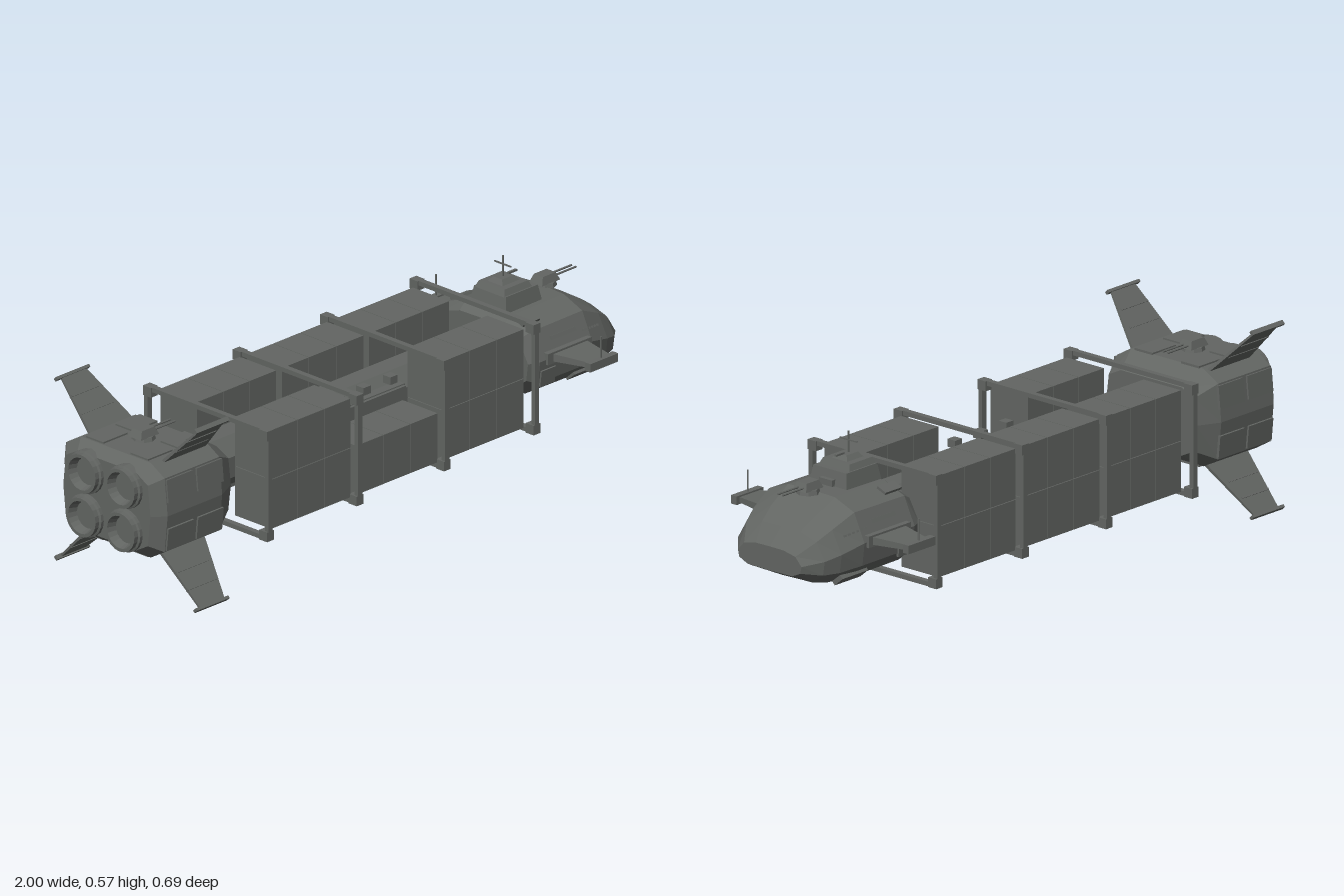
import * as THREE from 'three';

const grey = new THREE.MeshStandardMaterial({ color: 0x626562, flatShading: true, side: THREE.DoubleSide });
grey.name = 'hull grey';
const AXIS = 0.29; // height of the ship's long axis

function add(parent, name, geo, x = 0, y = 0, z = 0, rx = 0, rz = 0) {
  const m = new THREE.Mesh(geo, grey);
  m.name = name;
  m.position.set(x, y, z);
  m.rotation.set(rx, 0, rz);
  parent.add(m);
  return m;
}
const box = (p, name, w, h, d, x, y, z, rx = 0, rz = 0) =>
  add(p, name, new THREE.BoxGeometry(w, h, d), x, y, z, rx, rz);
function group(parent, name) {
  const g = new THREE.Group();
  g.name = name;
  parent.add(g);
  return g;
}

// Skin stretched along x over mirrored half profiles of [z, y] points
function loft(sections) {
  const rings = sections.map(([x, half]) => [
    ...half.map(([z, y]) => [x, y, z]),
    ...half.slice(1, -1).reverse().map(([z, y]) => [x, y, -z]),
  ]);
  const pos = [], n = rings[0].length;
  const tri = (...c) => c.forEach(p => pos.push(...p));
  for (let s = 0; s < rings.length - 1; s++)
    for (let i = 0; i < n; i++) {
      const j = (i + 1) % n, a = rings[s], b = rings[s + 1];
      tri(a[i], a[j], b[j]);
      tri(a[i], b[j], b[i]);
    }
  const first = rings[0], last = rings[rings.length - 1];
  for (let i = 1; i < n - 1; i++) {
    tri(first[0], first[i + 1], first[i]);
    tri(last[0], last[i], last[i + 1]);
  }
  const g = new THREE.BufferGeometry();
  g.setAttribute('position', new THREE.Float32BufferAttribute(pos, 3));
  g.computeVertexNormals();
  return g;
}

// Block whose top is smaller than its base
function taperBox(w, h, d, kx, kz) {
  const g = new THREE.BoxGeometry(w, h, d), p = g.attributes.position;
  for (let i = 0; i < p.count; i++)
    if (p.getY(i) > 0) p.setXYZ(i, p.getX(i) * kx, p.getY(i), p.getZ(i) * kz);
  g.computeVertexNormals();
  return g;
}

// Fin rising along y in its group, then turned about x
function fin(parent, name, [r0, r1], [t0, t1], d0, d1, thick, y, angle) {
  const g = group(parent, name);
  g.position.y = y;
  g.rotation.x = angle;
  const blade = taperBox(1, d1 - d0, thick, 1, 0.6), p = blade.attributes.position;
  for (let i = 0; i < p.count; i++) {
    const top = p.getY(i) > 0, back = p.getX(i) < 0;
    p.setX(i, top ? (back ? t0 : t1) : (back ? r0 : r1));
  }
  add(g, 'finBlade', blade, 0, (d0 + d1) / 2, 0);
  return g;
}

// Small gun turret pointing forward
function turret(parent, x, y) {
  const g = group(parent, 'turret');
  g.position.set(x, y, 0);
  add(g, 'turretBase', new THREE.CylinderGeometry(0.032, 0.036, 0.014, 8), 0, 0.004, 0);
  add(g, 'turretHouse', taperBox(0.075, 0.024, 0.052, 0.7, 0.7), 0, 0.022, 0);
  for (const s of [-1, 1])
    add(g, 'gunBarrel', new THREE.CylinderGeometry(0.003, 0.003, 0.1, 6), 0.07, 0.02, s * 0.009, 0, Math.PI / 2);
}

function buildBow(ship) {
  const g = group(ship, 'bow');
  const base = [[0, 1], [0.09, 0.99], [0.165, 0.865], [0.205, 0.51], [0.197, 0.22], [0.145, 0.02], [0, 0]];
  const cut = (x, k, lo, hi) => [x, base.map(([z, t]) => [z * k, lo + t * (hi - lo)])];
  add(g, 'bowHull', loft([
    cut(0.57, 0.93, 0.215, 0.4), cut(0.605, 1, 0.19, 0.424), cut(0.82, 1, 0.188, 0.427),
    cut(0.9, 0.92, 0.192, 0.385), cut(0.95, 0.82, 0.202, 0.35), cut(1.0, 0.6, 0.227, 0.3)]));

  // Command tower and mast
  add(g, 'towerBase', taperBox(0.15, 0.05, 0.145, 0.88, 0.88), 0.675, 0.445, 0);
  add(g, 'towerMiddle', taperBox(0.115, 0.02, 0.12, 0.85, 0.85), 0.665, 0.478, 0);
  add(g, 'towerTop', taperBox(0.07, 0.015, 0.06, 0.7, 0.6), 0.665, 0.495, 0);
  box(g, 'towerBridge', 0.03, 0.02, 0.05, 0.745, 0.435, 0);
  box(g, 'mast', 0.004, 0.07, 0.004, 0.662, 0.532, 0);
  box(g, 'mastCrossbar', 0.004, 0.004, 0.066, 0.662, 0.54, 0);
  box(g, 'sensorArm', 0.035, 0.006, 0.008, 0.7, 0.505, 0);
  turret(g, 0.835, 0.425);

  for (const s of [-1, 1]) {
    // Side wing with tip pod and aerial
    const w = fin(g, 'sideWing', [0.64, 0.8], [0.685, 0.77], 0.17, 0.33, 0.026, 0.312, s * Math.PI / 2);
    box(w, 'wingPod', 0.115, 0.022, 0.026, 0.727, 0.333, 0);
    box(g, 'wingAerial', 0.004, 0.07, 0.004, 0.727, 0.355, s * 0.331);
    box(g, 'wingRoot', 0.18, 0.035, 0.03, 0.72, 0.312, s * 0.198);
    // Vents, window rows and belly fittings
    box(g, 'sideVent', 0.1, 0.012, 0.008, 0.72, 0.36, s * 0.185, -s * 0.42);
    for (let i = 0; i < 6; i++)
      box(g, 'window', 0.008, 0.006, 0.006, 0.8 + i * 0.014, 0.348 - i * 0.002, s * (0.19 - i * 0.003), -s * 0.42);
    box(g, 'deckPlate', 0.07, 0.008, 0.035, 0.63, 0.415, s * 0.13, s * 0.39);
    box(g, 'bellyPod', 0.11, 0.016, 0.04, 0.83, 0.205, s * 0.158, -s * 0.7);
    box(g, 'bellySkid', 0.1, 0.008, 0.025, 0.8, 0.186, s * 0.055);
    box(g, 'bowDoor', 0.06, 0.05, 0.008, 0.64, 0.255, s * 0.2, s * 0.12);
  }
}

function buildStern(ship) {
  const g = group(ship, 'stern'), cy = 0.296;
  const half = [[0, 0.148], [0.14, 0.148], [0.196, 0.115], [0.208, 0], [0.196, -0.115], [0.14, -0.148], [0, -0.148]];
  const cut = (x, kz, ky) => [x, half.map(([z, y]) => [z * kz, cy + y * ky])];
  add(g, 'engineBlock', loft([cut(-0.972, 0.84, 0.82), cut(-0.935, 1, 1), cut(-0.71, 1, 1), cut(-0.64, 0.84, 0.7)]));

  // Raised armour panels
  for (const s of [-1, 1])
    for (const x of [-0.88, -0.757]) {
      for (const v of [-1, 1])
        box(g, 'sidePanel', 0.105, 0.07, 0.012, x, cy + v * 0.075, s * 0.2, -s * v * 0.1);
      for (const v of [-1, 1])
        box(g, 'deckPanel', 0.1, 0.01, 0.07, x, cy + v * 0.148, s * 0.09);
    }
  turret(g, -0.82, 0.445);

  // Four engine bells
  const bell = new THREE.LatheGeometry([[0.001, 0.02], [0.035, 0.02], [0.05, -0.03], [0.06, -0.03], [0.06, -0.015],
    [0.066, -0.012], [0.066, 0.04]].map(([r, h]) => new THREE.Vector2(r, h)), 20);
  for (const sy of [-1, 1])
    for (const sz of [-1, 1])
      add(g, 'engineBell', bell, -0.97, cy + sy * 0.068, sz * 0.078, 0, -Math.PI / 2);

  // Four diagonal fins with ribs and tip caps
  for (let k = 0; k < 4; k++) {
    const f = fin(g, 'tailFin', [-0.895, -0.715], [-0.875, -0.775], 0.19, 0.396, 0.01, AXIS, Math.PI / 4 + k * Math.PI / 2);
    box(f, 'finCap', 0.135, 0.009, 0.014, -0.828, 0.395, 0);
    box(f, 'finRib', 0.115, 0.006, 0.012, -0.823, 0.33, 0);
    box(f, 'finRib', 0.13, 0.006, 0.012, -0.82, 0.27, 0);
  }
}

function buildCargo(ship) {
  const g = group(ship, 'cargoSection');
  // Octagonal spine
  const spine = new THREE.CylinderGeometry(0.084, 0.084, 1.26, 8);
  spine.rotateY(Math.PI / 8);
  add(g, 'spine', spine, -0.03, AXIS, 0, 0, Math.PI / 2);

  // Containers: three bays of three, two rows, both sides, one bay left open
  const frames = [-0.553, -0.183, 0.177, 0.547];
  for (let bay = 0; bay < 3; bay++) {
    const x0 = bay === 0 ? -0.523 : frames[bay] + 0.011;
    const x1 = bay === 2 ? 0.52 : frames[bay + 1] - 0.011;
    const w = (x1 - x0) / 3;
    for (const row of [-1, 1])
      for (const s of [-1, 1]) {
        if (bay === 1 && row === 1 && s === 1) continue;
        for (let i = 0; i < 3; i++)
          box(g, 'container', w - 0.002, 0.153, 0.145, x0 + w * (i + 0.5), AXIS + row * 0.0775, s * 0.149);
      }
  }

  // Loading rail in the open bay
  box(g, 'loadingRail', 0.31, 0.05, 0.03, 0, 0.325, 0.085);
  box(g, 'railLip', 0.3, 0.014, 0.012, 0, 0.34, 0.104);
  for (const x of [-0.11, 0, 0.11]) box(g, 'railClamp', 0.03, 0.024, 0.03, x, 0.374, 0.085);

  // Rectangular frames around the load
  for (const x of frames) {
    const f = group(g, 'cargoFrame');
    for (const s of [-1, 1]) {
      box(f, 'framePost', 0.018, 0.33, 0.014, x, 0.288, s * 0.242);
      box(f, 'frameBeam', 0.018, 0.014, 0.49, x, 0.288 + s * 0.165, 0);
      for (const v of [-1, 1])
        box(f, 'frameCorner', 0.028, 0.03, 0.032, x, 0.288 + v * 0.157, s * 0.233);
    }
  }
}

export function createModel() {
  const ship = new THREE.Group();
  ship.name = 'cargoShip';
  buildBow(ship);
  buildStern(ship);
  buildCargo(ship);
  return ship;
}
